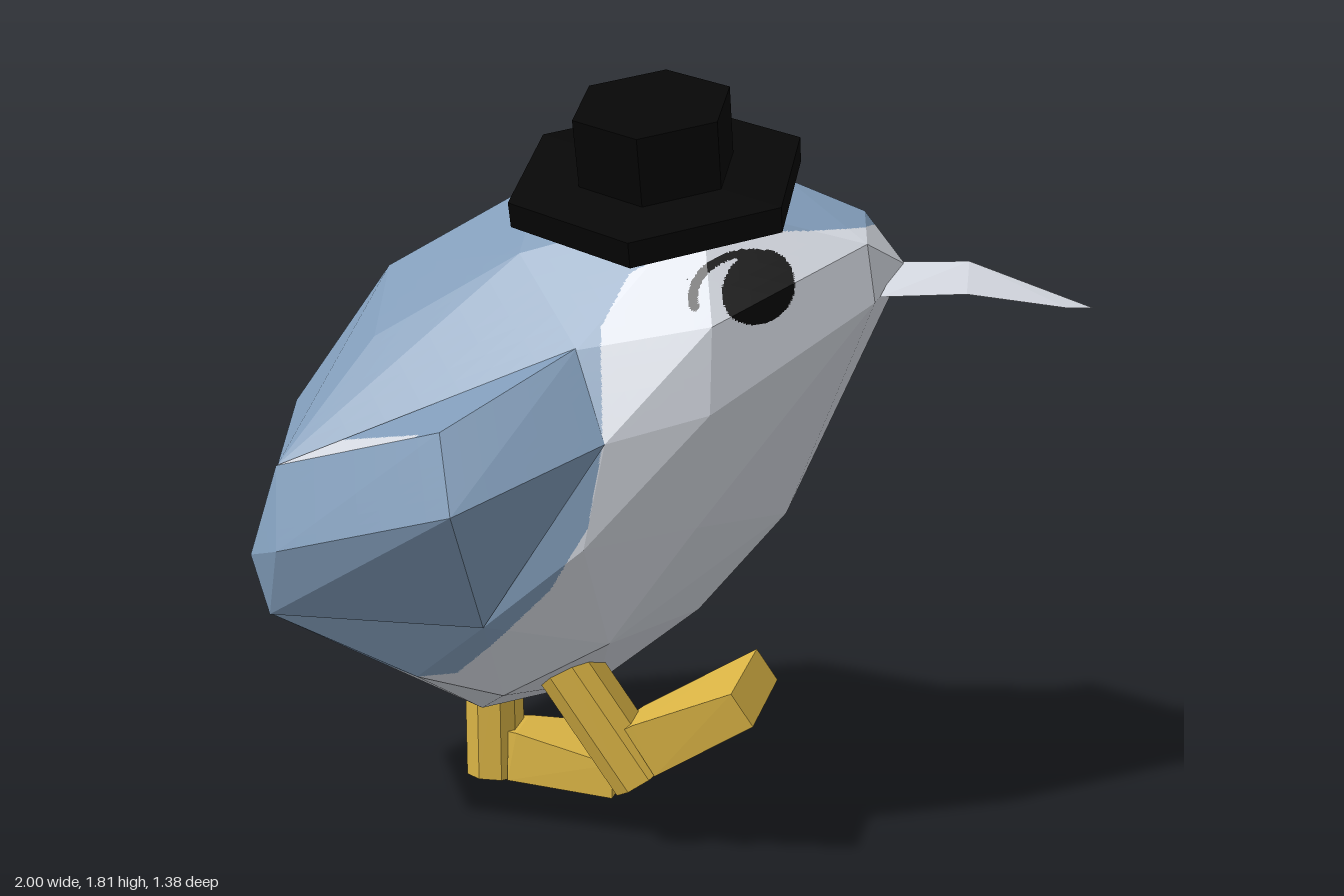
import * as THREE from 'three';
import { ConvexGeometry } from 'three/addons/geometries/ConvexGeometry.js';

const mat = (name, color) => new THREE.MeshStandardMaterial({ name, color, flatShading: true });
const V = (x, y, z = 0) => new THREE.Vector3(x, y, z);
const mirrorZ = (pts) => pts.flatMap(([x, y, z]) => [V(x, y, z), V(x, y, -z)]);

// Splits flat facets along colour borders; classify(point, normal) gives a material index
function paint(geometry, classify, materials, name) {
  const p = geometry.attributes.position;
  const buckets = materials.map(() => []);
  const split = (a, b, c, n, depth) => {
    const ab = a.clone().lerp(b, 0.5), bc = b.clone().lerp(c, 0.5), ca = c.clone().lerp(a, 0.5);
    const mid = a.clone().add(b).add(c).divideScalar(3);
    const k = classify(mid, n);
    const mixed = [a, b, c, ab, bc, ca].some((q) => classify(q, n) !== k);
    if (depth < 3 || (mixed && depth < 6)) {
      for (const t of [[a, ab, ca], [ab, b, bc], [ca, bc, c], [ab, bc, ca]]) split(...t, n, depth + 1);
    } else {
      for (const q of [a, b, c]) buckets[k].push(q.x, q.y, q.z);
    }
  };
  for (let i = 0; i < p.count; i += 3) {
    const [a, b, c] = [0, 1, 2].map((j) => V(0, 0).fromBufferAttribute(p, i + j));
    const n = b.clone().sub(a).cross(c.clone().sub(a)).normalize();
    split(a, b, c, n, 0);
  }
  const g = new THREE.BufferGeometry();
  g.setAttribute('position', new THREE.Float32BufferAttribute(buckets.flat(), 3));
  let start = 0;
  buckets.forEach((bkt, k) => {
    g.addGroup(start, bkt.length / 3, k);
    start += bkt.length / 3;
  });
  g.computeVertexNormals();
  const mesh = new THREE.Mesh(g, materials);
  mesh.name = name;
  return mesh;
}

// Rear border of the pale belly and cheek, as [y, x]
const BORDER = [[0.2, -0.8], [0.36, -0.72], [0.41, -0.6], [0.45, -0.4], [0.55, -0.29], [0.68, -0.16],
  [0.83, -0.07], [1.02, -0.035], [1.26, -0.06], [1.37, -0.01], [1.43, 0.1], [1.46, 0.22]];
function borderX(y) {
  for (let i = 1; i < BORDER.length; i++) {
    const [y0, x0] = BORDER[i - 1], [y1, x1] = BORDER[i];
    if (y <= y1) return x0 + (x1 - x0) * (y - y0) / (y1 - y0);
  }
  return Infinity;
}

function bodyColour(q) {
  if (Math.abs(q.z) > 0.18) {
    // round pupil plus a lid line behind it
    if (Math.hypot((q.x - 0.278) / 0.075, (q.y - 1.346) / 0.077) < 1) return 2;
    const r = Math.hypot((q.x - 0.25) / 0.12, (q.y - 1.335) / 0.09);
    if (r < 1 && r > 0.82 && q.x < 0.27 && q.y > 1.3) return 2;
  }
  return q.x > borderX(q.y) ? 1 : 0;
}

export function createModel() {
  const blue = mat('blue feathers', 0x809bb8);
  const white = mat('pale feathers', 0xd3d7df);
  const black = mat('black', 0x050505);
  const yellow = mat('leg yellow', 0xdab445);
  const bird = new THREE.Group();
  bird.name = 'bird';
  const add = (name, geometry, material, parent = bird) => {
    const m = new THREE.Mesh(geometry, material);
    m.name = name;
    parent.add(m);
    return m;
  };

  // Body and head: faceted hull of a centre outline and mirrored side points
  const outline = [[-1, 0.69], [-0.91, 1], [-0.66, 1.34], [-0.28, 1.55], [0.02, 1.61], [0.3, 1.56], [0.48, 1.49],
    [0.575, 1.37], [0.54, 1.29], [0.44, 1.07], [0.31, 0.77], [0.1, 0.52], [-0.15, 0.32], [-0.45, 0.23],
    [-0.74, 0.36], [-0.92, 0.46]].map(([x, y]) => V(x, y));
  const sides = [[-0.82, 0.92, 0.36], [-0.87, 0.72, 0.415], [-0.83, 0.58, 0.415], [-0.5, 0.43, 0.36],
    [-0.31, 0.59, 0.455], [-0.3, 0.39, 0.34], [-0.05, 0.53, 0.34], [-0.08, 0.78, 0.455], [0.15, 0.81, 0.33],
    [-0.03, 1.02, 0.46], [-0.11, 1.21, 0.375], [0.19, 1.08, 0.4], [0.19, 1.27, 0.38], [0.52, 1.3, 0.15],
    [0.5, 1.43, 0.15], [0.14, 1.52, 0.22], [-0.28, 1.4, 0.21], [-0.63, 1.2, 0.21]];
  bird.add(paint(new ConvexGeometry([...outline, ...mirrorZ(sides)]), bodyColour, [blue, white, black], 'body'));

  // Folded wings with a pale patch on the upper face
  const wingPts = [[-0.82, 0.92, 0.37], [-0.87, 0.72, 0.42], [-0.83, 0.58, 0.42], [-0.78, 0.75, 0.49],
    [-0.36, 1.06, 0.59], [-0.31, 0.9, 0.69], [-0.31, 0.59, 0.46], [-0.03, 1.02, 0.46], [-0.11, 1.215, 0.37]];
  for (const s of [1, -1]) {
    const wing = new ConvexGeometry(wingPts.map(([x, y, z]) => V(x, y, s * z)));
    const wingColour = (q, n) =>
      (n.y > 0.8 && q.x < -0.42 && Math.abs(q.z) > 0.37 + (q.x + 0.66) * 0.75 ? 1 : 0);
    bird.add(paint(wing, wingColour, [blue, white], s > 0 ? 'leftWing' : 'rightWing'));
  }

  // Beak: base, then a drooping tip
  add('beakBase', new ConvexGeometry([V(0.56, 1.375), V(0.53, 1.31), V(0.72, 1.38), V(0.72, 1.31),
    ...mirrorZ([[0.53, 1.312, 0.14], [0.72, 1.318, 0.105]])]), white);
  add('beakTip', new ConvexGeometry([V(0.72, 1.38), V(0.72, 1.31), V(1, 1.28), V(0.94, 1.28),
    ...mirrorZ([[0.72, 1.318, 0.105], [0.94, 1.285, 0.045]])]), white);

  // Legs: chamfered shin with a foot that widens to a slightly skewed toe, heel at the origin
  const shin = new ConvexGeometry([0, 0.375].flatMap((y) =>
    mirrorZ([[0, y, 0.045], [0.04, y, 0.075], [0.1, y, 0.075], [0.13, y, 0.045]])));
  const foot = new ConvexGeometry([
    ...mirrorZ([[0.115, 0, 0.07], [0.115, 0.13, 0.06], [0.14, 0.13, 0.07]]),
    ...[0, 0.09].flatMap((y) => [V(0.405, y, 0.138), V(0.425, y, -0.162)])]);
  for (const [name, x, y, z, turn] of [['standingLeg', -0.53, 0, -0.168, 0], ['raisedLeg', -0.05, 0.13, 0.213, 0.6]]) {
    const leg = new THREE.Group();
    leg.name = name;
    leg.position.set(x, y, z);
    leg.rotation.z = turn;
    add('shin', shin, yellow, leg);
    add('foot', foot, yellow, leg);
    bird.add(leg);
  }

  // Tilted six-sided hat
  const hat = new THREE.Group();
  hat.name = 'hat';
  hat.position.set(0.024, 1.56, 0.132);
  hat.rotation.x = 0.385;
  add('brim', new THREE.CylinderGeometry(0.35, 0.35, 0.06, 6), black, hat);
  add('crown', new THREE.CylinderGeometry(0.185, 0.185, 0.2, 6), black, hat).position.y = 0.09;
  bird.add(hat);

  return bird;
}
